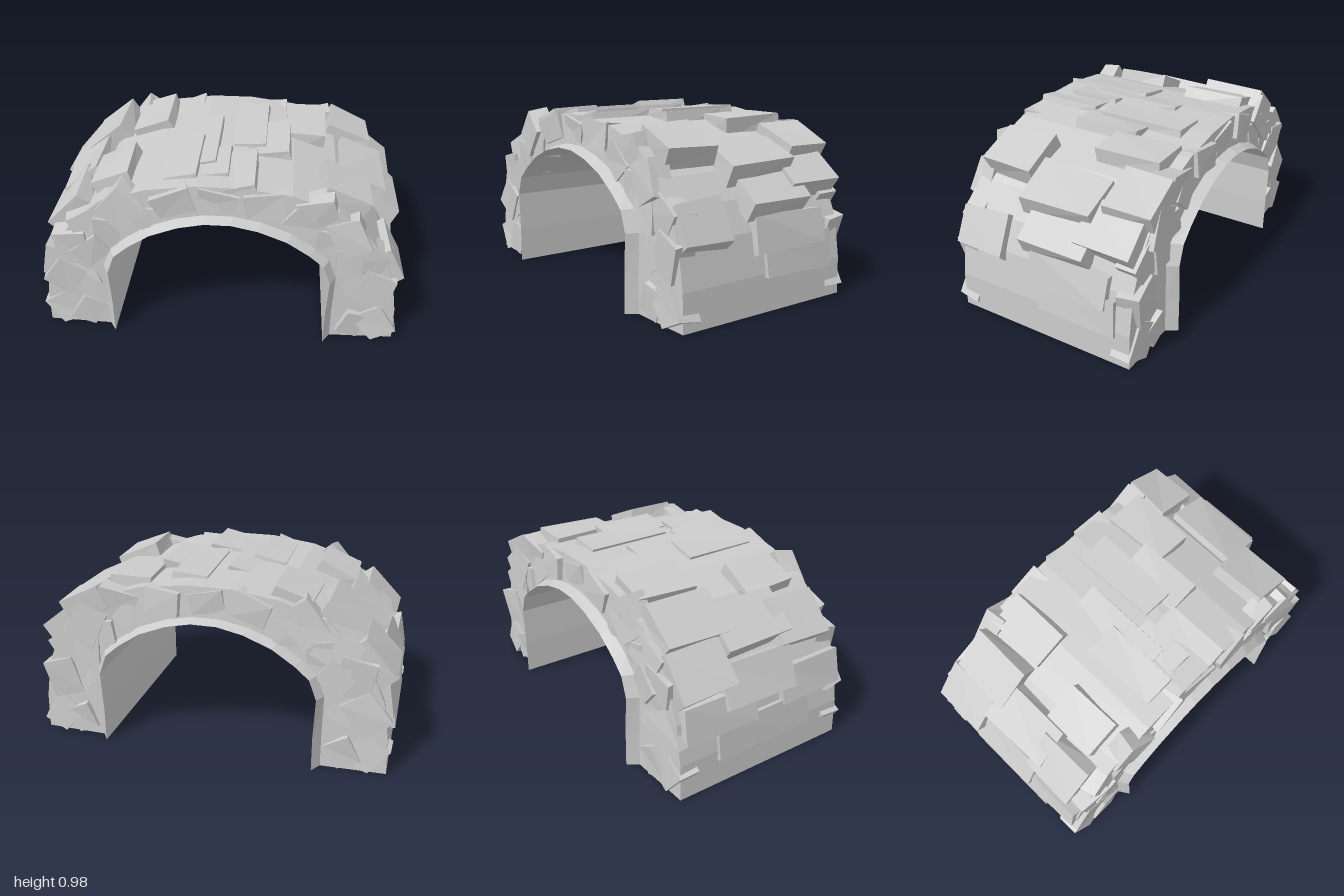
import * as THREE from 'three';

const { clamp, lerp, degToRad } = THREE.MathUtils;
const material = new THREE.MeshStandardMaterial({ color: 0xcccccc, flatShading: true });

// Half of the arch outline, foot to crown: [inner x, inner y, outer x, outer y]
const HALF = [
  [0.59, 0, 0.98, 0], [0.59, 0.2, 0.975, 0.2], [0.6, 0.42, 0.94, 0.42], [0.56, 0.53, 0.87, 0.58],
  [0.48, 0.6, 0.77, 0.71], [0.36, 0.68, 0.62, 0.84], [0.21, 0.74, 0.38, 0.92], [0.07, 0.77, 0.12, 0.955],
];
const mirrored = HALF.map(([ix, iy, ox, oy]) => [-ix, iy, -ox, oy]).reverse();
const STATIONS = [...HALF, ...mirrored];

// Point on the arch at station u (0 = +x foot, 15 = -x foot), t = 0 inside to 1 outside,
// with the slope of the outer outline and the wall thickness there
function archPoint(u, t) {
  const i = Math.min(Math.floor(u), STATIONS.length - 2), f = u - i;
  const a = STATIONS[i], b = STATIONS[i + 1];
  const [ix, iy, ox, oy] = a.map((n, k) => lerp(n, b[k], f));
  return {
    x: lerp(ix, ox, t), y: lerp(iy, oy, t),
    slope: Math.atan2(a[3] - b[3], a[2] - b[2]),
    depth: Math.hypot(ox - ix, oy - iy),
  };
}

// Arch body lofted along the stations, its thin inner lip reaching furthest in z
function archGeometry() {
  const rings = STATIONS.map((_, s) => {
    const at = (t, z) => {
      const p = archPoint(s, t);
      return [p.x, p.y, z];
    };
    return [at(0, 0.6), at(0.1, 0.54), at(1, 0.53), at(1, -0.53), at(0.1, -0.54), at(0, -0.6)];
  });
  const pos = [];
  const quad = (a, b, c, d) => pos.push(...a, ...b, ...c, ...a, ...c, ...d);
  for (let s = 0; s < rings.length - 1; s++) {
    const r = rings[s], q = rings[s + 1];
    for (let i = 0; i < 6; i++) {
      const j = (i + 1) % 6;
      quad(r[i], r[j], q[j], q[i]);
    }
  }
  // Feet
  const a = rings[0], b = rings[rings.length - 1];
  quad(a[5], a[4], a[1], a[0]);
  quad(a[4], a[3], a[2], a[1]);
  quad(b[0], b[1], b[4], b[5]);
  quad(b[1], b[2], b[3], b[4]);
  const geo = new THREE.BufferGeometry();
  geo.setAttribute('position', new THREE.Float32BufferAttribute(pos, 3));
  geo.computeVertexNormals();
  return geo;
}

// Block with slightly irregular corners, trimmed flat at the ground, crown and sides
function block(name, w, h, d, matrix, seed) {
  let geo = new THREE.BoxGeometry(w, h, d);
  const p = geo.attributes.position, v = new THREE.Vector3();
  for (let i = 0; i < p.count; i++) {
    v.fromBufferAttribute(p, i);
    const k = (v.x > 0 ? 1 : 0) + (v.y > 0 ? 2 : 0) + (v.z > 0 ? 4 : 0);
    v.x += 0.01 * Math.sin(seed * 3.1 + k * 2.3);
    v.y += 0.006 * Math.sin(seed * 1.7 + k * 4.1);
    v.z += 0.006 * Math.sin(seed * 2.9 + k * 1.3);
    v.applyMatrix4(matrix);
    p.setXYZ(i, clamp(v.x, -1, 1), clamp(v.y, 0, 0.98), clamp(v.z, -0.58, 0.58));
  }
  geo = geo.toNonIndexed();
  geo.computeVertexNormals();
  const mesh = new THREE.Mesh(geo, material);
  mesh.name = name;
  return mesh;
}

// Roof slabs: [station, z centre, z width]
const SLABS = [
  // +x flank
  [1.3, -0.22, 0.45], [1.9, -0.16, 0.47], [2.4, 0.38, 0.28], [3.1, -0.08, 0.39], [3.6, -0.36, 0.32],
  [4.2, -0.04, 0.42], [4.9, 0.32, 0.3], [4.6, -0.42, 0.27], [5.7, -0.27, 0.38],
  // Crown
  [6.4, -0.01, 0.37], [6.9, -0.15, 0.5], [7, 0.35, 0.36], [7.6, 0.27, 0.3],
  [7.9, 0.04, 0.52], [8.3, 0.23, 0.43],
  // -x flank
  [9.2, -0.31, 0.35], [9.8, 0.25, 0.31], [10.4, -0.32, 0.36], [10.9, 0.02, 0.42], [11.2, 0.3, 0.32],
  [11.8, -0.36, 0.32], [12.5, -0.03, 0.45], [13, 0.32, 0.4], [13.1, -0.28, 0.45], [13.8, 0, 0.6],
];

// Slabs tip up towards +x, lift most at the haunches and are longest there
function roofSlab([u, z, width], i) {
  const { x, y, slope } = archPoint(u, 1);
  const haunch = Math.sin(2 * slope), thick = 0.12;
  const tilt = slope - degToRad(10) * haunch + degToRad(13) * Math.cos(slope) ** 2;
  const out = 0.012 + 0.07 * Math.abs(haunch) - thick / 2;
  const length = 0.16 + 0.1 * Math.abs(haunch);
  const m = new THREE.Matrix4().makeRotationZ(tilt)
    .setPosition(x - Math.sin(slope) * out, y + Math.cos(slope) * out, z);
  return block('roofSlab', length, thick, width, m, i);
}

// Rotated stones set into an end face: two rows where the wall is thick, one at the crown
function endStones(name, side) {
  const face = new THREE.Group();
  face.name = name;
  const count = 13;
  for (let i = 0; i < count; i++) {
    const u = 0.5 + (14 * i) / (count - 1);
    const { depth } = archPoint(u, 0);
    const single = depth < 0.29;
    const rows = single ? [0.58] : [0.4, 0.72];
    rows.forEach((t, row) => {
      const { x, y, slope } = archPoint(u, t);
      const seed = i * 2 + row + (side > 0 ? 40 : 80);
      const turn = degToRad(single ? 12 : 32) * ((i + row) % 2 ? 1 : -0.8);
      const width = single ? 0.2 : 0.17 + 0.04 * row;
      const height = single ? depth * 0.62 : 0.14 + 0.04 * row;
      const m = new THREE.Matrix4().makeRotationFromEuler(new THREE.Euler(
        0.07 * Math.sin(seed * 2.1), 0.08 * Math.sin(seed * 1.3), slope + turn));
      m.setPosition(x, y, side * (0.49 + 0.01 * Math.sin(seed * 1.9)));
      face.add(block('faceStone', width, height, 0.12, m, seed));
    });
  }
  return face;
}

export function createModel() {
  const group = new THREE.Group();
  group.name = 'stoneArch';

  const body = new THREE.Mesh(archGeometry(), material);
  body.name = 'archBody';

  const roof = new THREE.Group();
  roof.name = 'roofSlabs';
  SLABS.forEach((s, i) => roof.add(roofSlab(s, i)));

  group.add(body, roof, endStones('frontStones', 1), endStones('backStones', -1));
  return group;
}
